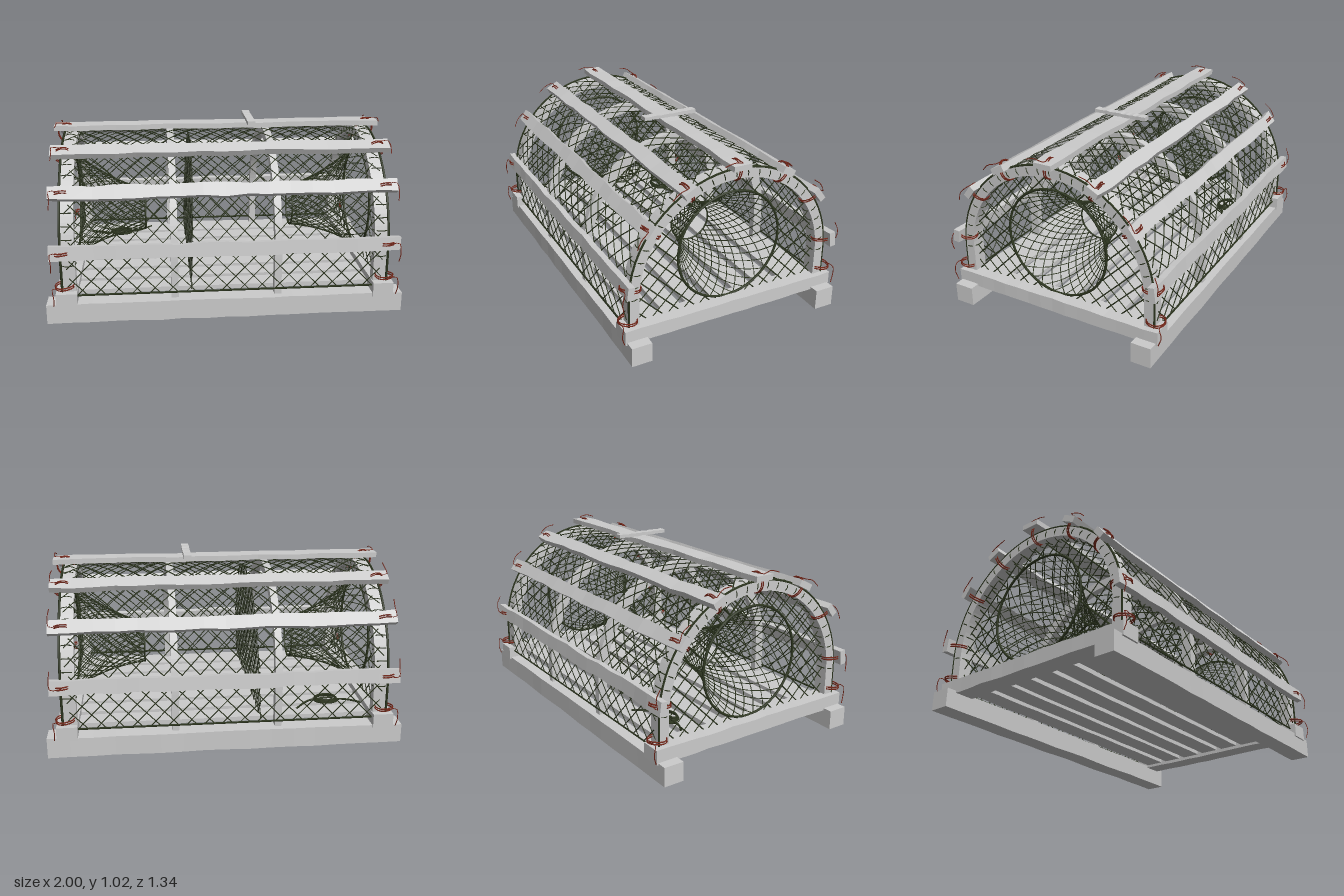
import * as THREE from 'three';
import { mergeGeometries } from 'three/addons/utils/BufferGeometryUtils.js';

const V = (x, y, z) => new THREE.Vector3(x, y, z);
const CY = 0.335, R_OUT = 0.605, R_IN = 0.55; // arch centre height and radii

export function createModel() {
  const model = new THREE.Group();
  const wood = new THREE.MeshStandardMaterial({ color: 0xcccccc, flatShading: true });
  const twine = new THREE.MeshStandardMaterial({ color: 0x2e3720 });
  const wire = new THREE.MeshStandardMaterial({ color: 0x7a2a1c });

  let seed = 7;
  const rand = () => ((seed = (seed * 16807) % 2147483647) / 2147483647) - 0.5;

  const add = (name, geometry, material, parent = model) => {
    const mesh = new THREE.Mesh(geometry, material);
    mesh.name = name;
    parent.add(mesh);
    return mesh;
  };

  // Rough-sawn plank along x with slightly wavering edges
  const plank = (length, height, depth, rough) => {
    const n = 16, g = new THREE.BoxGeometry(length, height, depth, n, 1, 1);
    const up = [], down = [], out = [];
    for (let i = 0; i <= n; i++) {
      up.push(rand() * rough);
      down.push(rand() * rough);
      out.push(rand() * rough * 0.5);
    }
    const p = g.attributes.position;
    for (let k = 0; k < p.count; k++) {
      const i = Math.round((p.getX(k) / length + 0.5) * n);
      p.setY(k, p.getY(k) + (p.getY(k) > 0 ? up[i] : down[i]));
      p.setZ(k, p.getZ(k) + out[i]);
    }
    g.computeVertexNormals();
    return g;
  };

  // Cord through a list of points
  const cord = (points, radius = 0.003, closed = false, segments = points.length - 1) => {
    const curve = points.length === 2
      ? new THREE.LineCurve3(points[0], points[1])
      : new THREE.CatmullRomCurve3(points, closed);
    return new THREE.TubeGeometry(curve, segments, radius, 4, closed);
  };
  const ringX = (x, y, radius, tube) =>
    new THREE.TorusGeometry(radius, tube, 6, 48).rotateY(Math.PI / 2).translate(x, y, 0);

  // Runners, end beams and floor
  for (const s of [-1, 1]) {
    add('runner', plank(2, 0.113, 0.115, 0.006), wood).position.set(0, 0.058, s * 0.578);
    const beam = add('endBeam', plank(1.29, 0.08, 0.115, 0.006), wood);
    beam.rotation.y = Math.PI / 2;
    beam.position.set(s * 0.887, 0.14, 0);
  }
  for (let i = -3; i <= 3; i++)
    add('floorSlat', plank(1.7, 0.025, 0.115, 0.003).rotateX(0), wood).position.set(0, 0.132, i * 0.152);

  // Bent arches
  const arch = new THREE.Shape();
  arch.moveTo(R_OUT, 0.12);
  arch.lineTo(R_OUT, CY);
  arch.absarc(0, CY, R_OUT, 0, Math.PI, false);
  arch.lineTo(-R_OUT, 0.12);
  arch.lineTo(-R_IN, 0.12);
  arch.lineTo(-R_IN, CY);
  arch.absarc(0, CY, R_IN, Math.PI, 0, true);
  arch.lineTo(R_IN, 0.12);
  for (const [x, w] of [[-0.873, 0.08], [-0.29, 0.04], [0.29, 0.04], [0.873, 0.08]]) {
    const g = new THREE.ExtrudeGeometry(arch, { depth: w, bevelEnabled: false, curveSegments: 28 });
    add('arch', g.translate(0, 0, -w / 2).rotateY(Math.PI / 2), wood).position.x = x;
  }

  // Wire tie: two loops round the arch and a loose tail, in a frame whose z points outward
  const addTie = (parent, x, centre, reach) => {
    const parts = [];
    for (const dy of [-0.006, 0.006]) {
      const loop = [];
      for (let i = 0; i < 16; i++) {
        const a = (i / 16) * Math.PI * 2;
        loop.push(V(x + 0.05 * Math.cos(a), dy + 0.003 * Math.sin(a * 2), centre + reach * Math.sin(a)));
      }
      parts.push(cord(loop, 0.004, true, 20));
    }
    const end = x + Math.sign(x) * 0.06;
    parts.push(cord([V(x, 0, centre + reach), V(end, 0.005, centre + reach),
      V(end + 0.005, -0.05, centre + reach + 0.01), V(end, -0.1, centre + reach - 0.005)], 0.0025, false, 8));
    add('wireTie', mergeGeometries(parts), wire, parent);
  };

  // Side and top laths, tied at both ends
  for (const deg of [7, 37, 62.5, 90, 117.5, 143, 173]) {
    const lath = new THREE.Group(), top = deg === 90;
    lath.name = 'tiedLath';
    lath.position.y = CY;
    lath.rotation.x = -THREE.MathUtils.degToRad(deg);
    add('lath', plank(1.94, top ? 0.108 : 0.076, top ? 0.03 : 0.036, 0.012), wood, lath)
      .position.set(0, 0, top ? 0.635 : 0.625);
    for (const s of [-1, 1]) addTie(lath, s * 0.9, 0.6, 0.056);
    model.add(lath);
  }
  for (const turn of [0, Math.PI]) {
    const foot = new THREE.Group();
    foot.name = 'archFootTies';
    foot.position.y = 0.215;
    foot.rotation.y = turn;
    for (const s of [-1, 1]) addTie(foot, s * 0.895, 0.61, 0.05);
    model.add(foot);
  }

  // Short handle across the top
  const handle = add('handle', plank(0.33, 0.02, 0.045, 0.004), wood);
  handle.rotation.y = Math.PI / 2;
  handle.position.set(0.185, 1.005, 0);

  // Point on the arch at distance s from the middle of the crown
  const netR = R_OUT + 0.003, half = netR * Math.PI / 2, S = half + CY - 0.155;
  const onArch = (x, s) => {
    const t = Math.min(Math.abs(s), half) / netR;
    const drop = Math.max(Math.abs(s) - half, 0);
    return V(x, CY + netR * Math.cos(t) - drop, Math.sign(s) * netR * Math.sin(t));
  };

  // Diamond net over the arches
  const cover = [];
  for (const d of [-1, 1])
    for (let x0 = -1.95; x0 <= 1.95; x0 += 0.1) {
      let run = [];
      for (let i = 0; i <= 44; i++) {
        const s = -S + (2 * S * i) / 44, x = x0 + d * s * 0.95;
        if (Math.abs(x) <= 0.9) run.push(onArch(x, s));
      }
      if (run.length > 1) cover.push(cord(run));
    }
  for (const x of [-0.91, 0.91]) {
    const hem = [];
    for (let i = 0; i <= 40; i++) hem.push(onArch(x, -S + (2 * S * i) / 40));
    cover.push(cord(hem, 0.007));
  }
  for (const s of [-S, S]) cover.push(cord([onArch(-0.9, s), onArch(0.9, s)], 0.006));
  add('coverNet', mergeGeometries(cover), twine);

  // Flat diamond net filling an arch, leaving a round hole
  const HOLE_Y = 0.49;
  const flatNet = (x, hole, lean) => {
    const parts = [];
    const inside = (y, z) => y > 0.15 && Math.hypot(z, Math.max(y - CY, 0)) < 0.575
      && Math.hypot(z, y - HOLE_Y) > hole;
    for (const d of [-1, 1])
      for (let c = -0.6; c < 1.6; c += 0.095) {
        let start = null, last = null;
        for (let z = -0.6; z <= 0.61; z += 0.005) {
          const y = c + d * z;
          if (inside(y, z)) {
            last = V(x + lean * (y - 0.5), y, z);
            start = start || last;
          } else if (start) {
            if (start !== last) parts.push(cord([start, last], 0.0035));
            start = null;
          }
        }
      }
    return parts;
  };

  // End nets with funnel entrances
  for (const s of [-1, 1]) {
    const end = flatNet(s * 0.875, 0.31, 0);
    for (let i = 0; i <= 26; i++) { // lashings round the arch
      const a = (i / 26) * Math.PI;
      end.push(new THREE.TorusGeometry(0.04, 0.003, 4, 12).scale(1.1, 0.9, 1).rotateX(Math.PI / 2)
        .rotateX(0.15).translate(s * 0.873, 0, 0.578).rotateX(-a).translate(0, CY, 0));
    }
    add('endNet', mergeGeometries(end), twine);

    const funnel = [ringX(s * 0.875, HOLE_Y, 0.31, 0.007), ringX(s * 0.45, 0.44, 0.12, 0.005)];
    for (const d of [-1, 1])
      for (let k = 0; k < 26; k++) {
        const strand = [];
        for (let i = 0; i <= 12; i++) {
          const u = i / 12, a = (k / 26) * Math.PI * 2 + d * u * 1.5;
          const r = 0.31 - 0.19 * u - 0.025 * Math.sin(u * Math.PI);
          strand.push(V(s * (0.875 - 0.425 * u), HOLE_Y - 0.05 * u + r * Math.sin(a), r * Math.cos(a)));
        }
        funnel.push(cord(strand, 0.0025));
      }
    add('funnelNet', mergeGeometries(funnel), twine);
  }

  // Inner dividing net
  add('dividerNet', mergeGeometries(flatNet(-0.185, 0, 0.03)), twine);

  // Coil of rope on the floor with two loose ends
  const coil = [V(-0.82, 0.155, -0.4), V(-0.74, 0.158, -0.36)];
  for (let i = 0; i <= 36; i++) {
    const a = Math.PI + (i / 12) * Math.PI * 2, r = 0.075 - i * 0.0005;
    coil.push(V(-0.62 + r * Math.cos(a), 0.156 + i * 0.0006, -0.35 + 0.7 * r * Math.sin(a)));
  }
  coil.push(V(-0.52, 0.16, -0.36), V(-0.42, 0.155, -0.46));
  add('ropeCoil', cord(coil, 0.006, false, 110), twine);

  return model;
}
